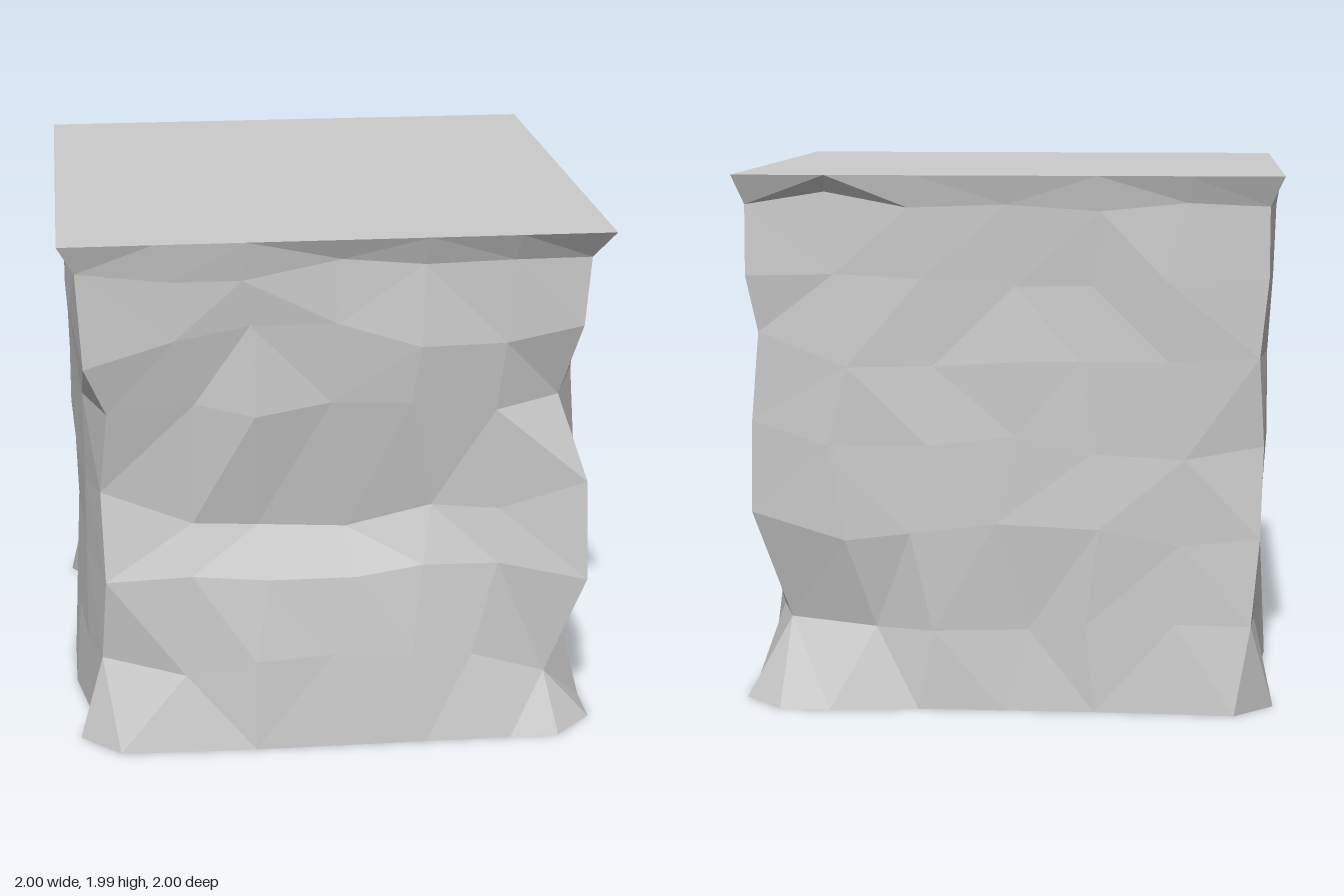
import * as THREE from 'three';

// Heights of the rings of facets
const ROWS = [0, 0.33, 0.66, 1, 1.33, 1.62, 1.88, 1.99];

// Corner edges, bottom to top, as [x, z] with an optional rise or drop in y
const CORNERS = [
  [[-0.97, 0.98], [-0.88, 0.82], [-0.86, 0.88], [-0.87, 0.82], [-0.84, 0.90], [-0.92, 0.95, -0.1], [-0.94, 0.96], [-1, 1]],
  [[1, 1], [0.81, 0.88, -0.11], [0.96, 0.92, -0.05], [0.95, 0.90], [0.84, 0.83], [0.91, 0.92], [0.93, 0.92], [1, 1]],
  [[1, -0.99], [0.83, -0.80, -0.02], [0.96, -0.90, 0.07], [0.95, -0.92, 0.08], [0.92, -0.93, 0.08], [0.96, -0.96], [0.96, -0.95], [1, -1]],
  [[-0.99, -0.98], [-0.90, -0.94], [-0.93, -0.93], [-0.94, -0.91], [-0.92, -0.95], [-0.95, -0.95], [-0.95, -0.95], [-1, -1]],
];

// Hollow of each side by row: front, +x, back, -x
const HOLLOW = [
  [0.00, 0.025, 0.06, 0.14, 0.05, 0.035, 0.03, 0],
  [0.00, 0.045, 0.025, 0.025, 0.025, 0.025, 0.025, 0],
  [0.00, 0.05, 0.025, 0.03, 0.035, 0.035, 0.03, 0],
  [0.00, 0.04, 0.06, 0.05, 0.035, 0.02, 0.02, 0],
];
// Extra hollows along the worn foot of each side
const FOOT = [
  [0.01, 0, 0, 0, 0],
  [0, 0, 0, 0.01, 0],
  [0, 0.04, 0.04, 0.04, 0.03],
  [0.14, 0.05, 0.02, 0.02, 0.08],
];
const OUT = [[0, 1], [1, 0], [0, -1], [-1, 0]];
const STEPS = [0.17, 0.335, 0.5, 0.665, 0.83];

function seeded(seed) {
  return () => {
    seed = (seed * 16807) % 2147483647;
    return (seed / 2147483647) * 2 - 1;
  };
}

// One closed ring of points around the block
function makeRing(row, rand) {
  const top = row === ROWS.length - 1, foot = row === 0;
  const rough = top || foot ? 0 : 1;
  const chamfer = foot ? 0.075 : 0;
  const ring = [];
  for (let s = 0; s < 4; s++) {
    const a = CORNERS[s][row], b = CORNERS[(s + 1) % 4][row];
    const [nx, nz] = OUT[s];
    const at = t => [a[0] + (b[0] - a[0]) * t, a[1] + (b[1] - a[1]) * t];
    const put = (p, y) => ring.push(new THREE.Vector3(p[0], y, p[1]));
    put(at(chamfer), ROWS[row] + (a[2] ?? 0));
    STEPS.forEach((t, k) => {
      const p = at(t + rand() * 0.025 * rough);
      let d = 1 - HOLLOW[s][row];
      // the outer columns lean toward the corner edges
      if (k === 0 || k === 4) d = d * 0.6 + (p[0] * nx + p[1] * nz) * 0.4;
      if (foot) d = 1 - FOOT[s][k];
      d = Math.min(1, d + rand() * 0.018 * rough);
      if (nx) p[0] = nx * d; else p[1] = nz * d;
      // the deep crease across the front sags in the middle
      const sag = s === 0 && row === 3 ? 0.14 * Math.sin(Math.PI * t) : 0;
      put(p, ROWS[row] - sag + rand() * 0.05 * rough);
    });
    put(at(1 - chamfer), ROWS[row] + (b[2] ?? 0));
  }
  return ring;
}

function facetMesh(name, triangles, material) {
  const geometry = new THREE.BufferGeometry().setFromPoints(triangles);
  geometry.computeVertexNormals();
  const mesh = new THREE.Mesh(geometry, material);
  mesh.name = name;
  return mesh;
}

export function createModel() {
  const group = new THREE.Group();
  group.name = 'roughStoneBlock';
  const material = new THREE.MeshStandardMaterial({ color: 0xcccccc, flatShading: true });
  const rand = seeded(4271);
  const rings = ROWS.map((_, row) => makeRing(row, rand));
  const n = rings[0].length;

  // Chiselled sides, each facet split along its shorter diagonal
  const sides = [];
  for (let r = 0; r < rings.length - 1; r++) {
    for (let i = 0; i < n; i++) {
      const j = (i + 1) % n;
      const a = rings[r][i], b = rings[r][j], c = rings[r + 1][j], d = rings[r + 1][i];
      if (a.distanceTo(c) < b.distanceTo(d)) sides.push(a, b, c, a, c, d);
      else sides.push(a, b, d, b, c, d);
    }
  }
  group.add(facetMesh('chiselledSides', sides, material));

  // Flat top and underside
  const cap = (ring, y, up) => {
    const centre = new THREE.Vector3(0, y, 0), out = [];
    ring.forEach((p, i) => {
      const q = ring[(i + 1) % n];
      out.push(centre, ...(up ? [p, q] : [q, p]));
    });
    return out;
  };
  group.add(facetMesh('flatTop', cap(rings[rings.length - 1], 1.99, true), material));
  group.add(facetMesh('underside', cap(rings[0], 0, false), material));
  return group;
}
